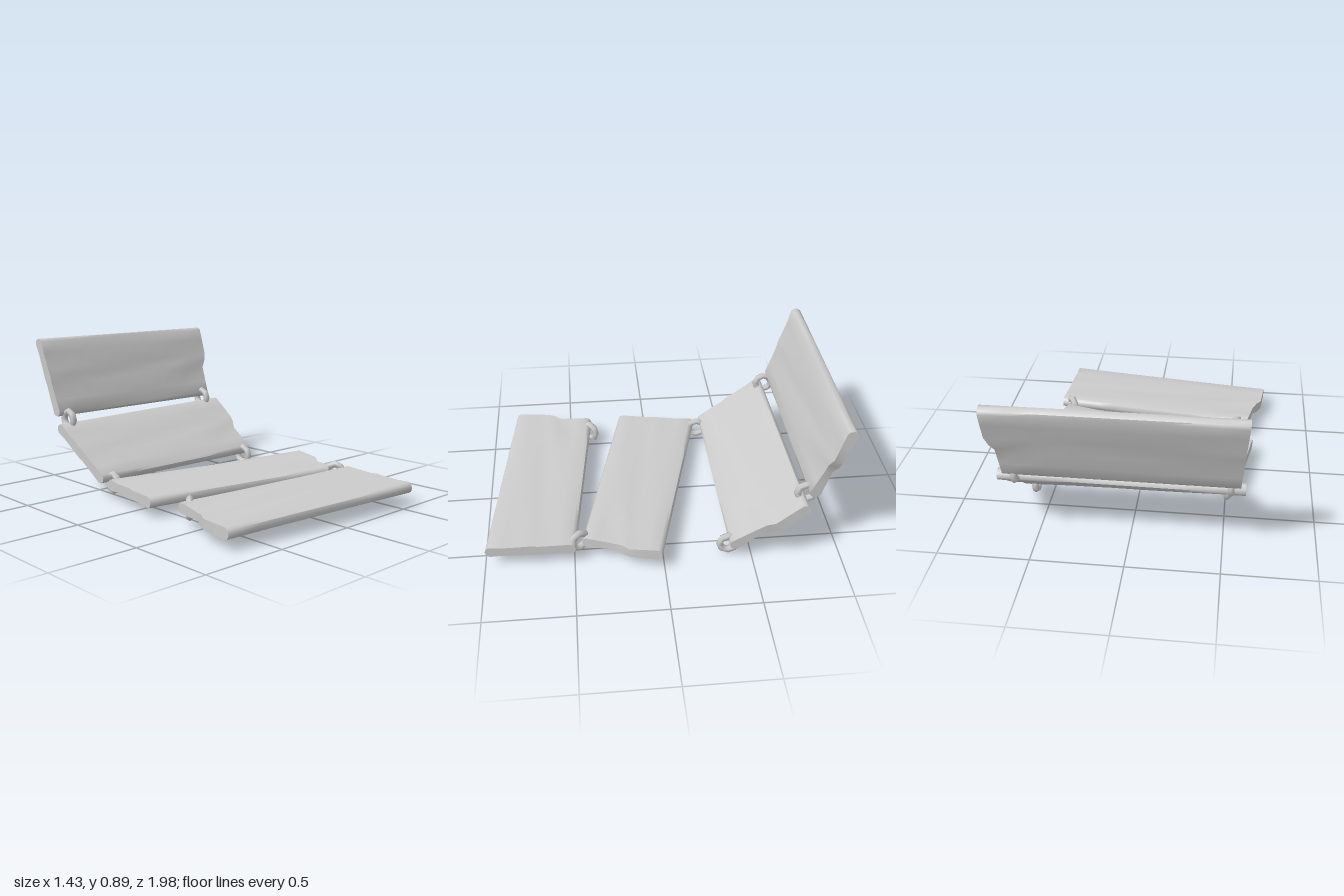
import * as THREE from 'three';
import { toCreasedNormals } from 'three/addons/utils/BufferGeometryUtils.js';

const material = new THREE.MeshStandardMaterial({ color: 0xcccccc });
const HALF = 0.03; // half of a plank's thickness

// Sideways offset of the splintered end, from v = 0 to v = 1 across the plank
const SPLINTER = [[0, 0], [0.2, 0.012], [0.4, 0.023], [0.6, -0.008], [0.8, -0.004], [1, 0]];
function splinter(v) {
  for (let i = 1; i < SPLINTER.length; i++) {
    const [v0, d0] = SPLINTER[i - 1], [v1, d1] = SPLINTER[i];
    if (v <= v1) return d0 + (d1 - d0) * (v - v0) / (v1 - v0);
  }
  return 0;
}

// A worn board between four corners a, b, c, d; edge b-c is the splintered end
function plank(name, corners) {
  const [a, b, c, d] = corners.map(p => new THREE.Vector3(...p));
  const along = b.clone().sub(a).normalize();
  const across = d.clone().sub(a).normalize();
  const normal = across.clone().cross(along).normalize();
  const rows = [0, 0.05, 0.2, 0.4, 0.5, 0.6, 0.8, 0.95, 1];
  const geometry = new THREE.BoxGeometry(1, 2, 1, 10, 2, rows.length - 1);
  const pos = geometry.attributes.position;
  const left = new THREE.Vector3(), right = new THREE.Vector3(), p = new THREE.Vector3();
  for (let i = 0; i < pos.count; i++) {
    const u = pos.getX(i) + 0.5, side = Math.round(pos.getY(i));
    const row = Math.round((pos.getZ(i) + 0.5) * (rows.length - 1));
    const v = rows[row];
    left.lerpVectors(a, d, v);
    right.lerpVectors(b, c, v).addScaledVector(along, splinter(v));
    p.lerpVectors(left, right, u);
    // rounded long edges and shallow wavy grain on the faces
    const edge = row === 0 || row === rows.length - 1;
    let h = edge ? 0.022 : HALF + 0.003 * Math.sin(row * 2.1 + u * 5);
    if (u > 0.85 && row === 5) h -= 0.01; // crack beside the broken end
    p.addScaledVector(normal, side * h);
    if (edge && side !== 0) p.addScaledVector(across, v < 0.5 ? 0.008 : -0.008);
    pos.setXYZ(i, p.x, p.y, p.z);
  }
  const mesh = new THREE.Mesh(toCreasedNormals(geometry, 0.8), material);
  mesh.name = name;
  return mesh;
}

// Plank corners in the order a, b, c, d
const PLANKS = {
  topPlank: [[-0.61, 0.89, -0.965], [0.705, 0.887, -0.965], [0.65, 0.42, -0.81], [-0.58, 0.42, -0.81]],
  upperPlank: [[-0.61, 0.37, -0.765], [0.7, 0.388, -0.785], [0.65, 0.085, -0.375], [-0.575, 0.09, -0.36]],
  middlePlank: [[-0.565, 0.082, -0.32], [0.71, 0.115, 0.015], [0.555, 0.108, 0.455], [-0.65, 0.085, 0.175]],
  lowerPlank: [[0.585, 0.103, 0.995], [-0.72, 0.085, 0.855], [-0.61, 0.1, 0.36], [0.61, 0.112, 0.49]],
};

// Ring centres and the heading of each ring's plane
const RINGS = [
  [-0.53, 0.403, -0.765, -Math.PI / 2],
  [0.595, 0.415, -0.785, -Math.PI / 2],
  [-0.515, 0.08, -0.335, -1.67],
  [0.595, 0.071, -0.37, -Math.PI / 2],
  [0.54, 0.11, 0.47, -1.04],
  [-0.54, 0.08, 0.372, 0.82],
];

export function createModel() {
  const group = new THREE.Group();
  group.name = 'hingedPlanks';
  for (const [name, corners] of Object.entries(PLANKS)) group.add(plank(name, corners));

  // Chunky rings linking each plank to the next
  const ringGeometry = new THREE.TorusGeometry(0.05, 0.021, 6, 8);
  RINGS.forEach(([x, y, z, turn], i) => {
    const ring = new THREE.Mesh(ringGeometry, material);
    ring.name = `linkRing${i + 1}`;
    ring.position.set(x, y, z);
    ring.rotation.y = turn;
    group.add(ring);
  });
  return group;
}
